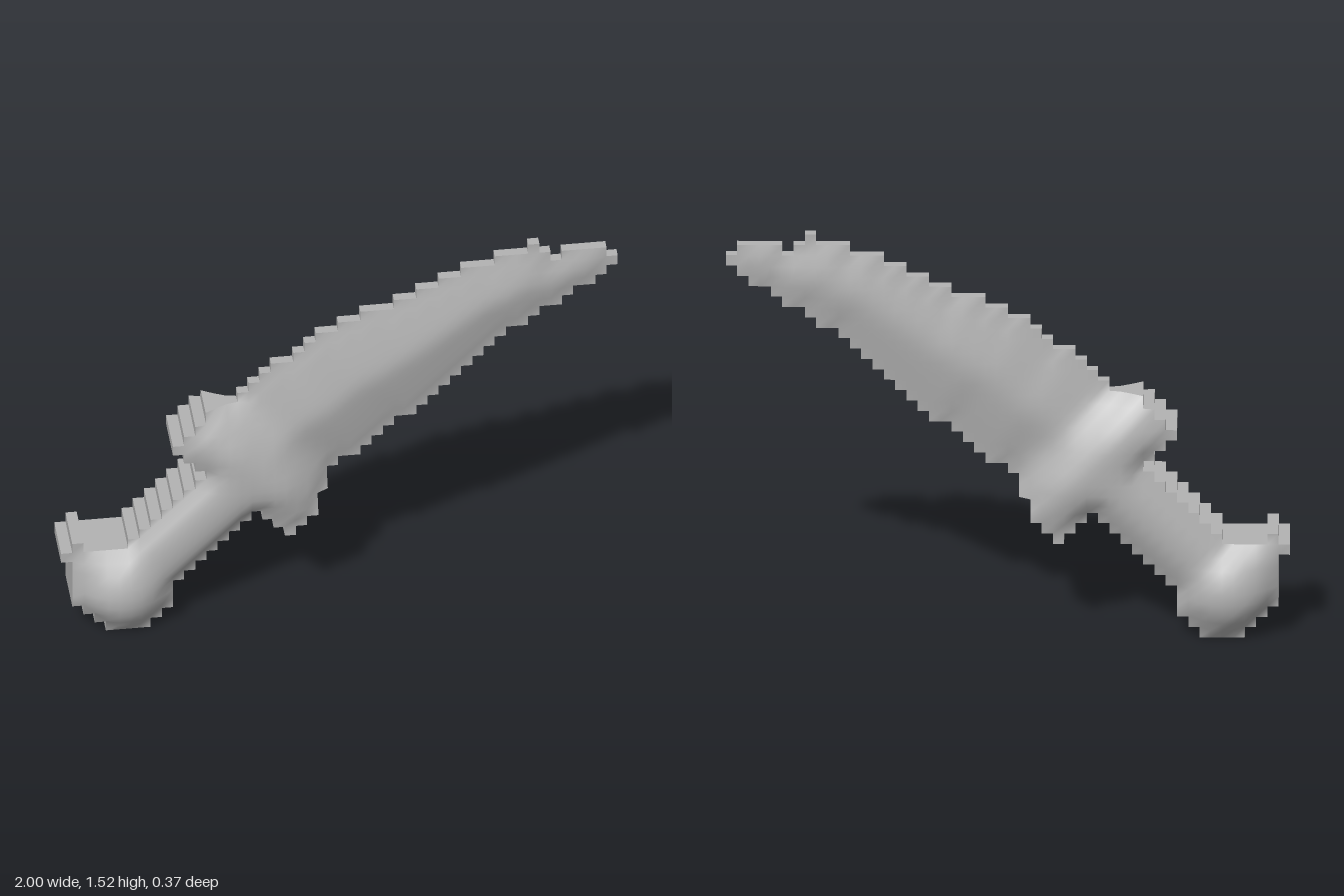
import * as THREE from 'three';

const CELL = 0.04, COLS = 50, ROWS = 38;

// Stepped silhouette: first and last column of each row, bottom to top
const SPANS = [
  [4, 8], [3, 9], [2, 10], [1, 10], [1, 10], [1, 11], [1, 12], [1, 13], [0, 14],
  [6, 15], [7, 16], [8, 17], [9, 23], [10, 24], [11, 24], [12, 25], [13, 27],
  [12, 28], [11, 29], [10, 30], [11, 32], [12, 33], [13, 34], [16, 35], [17, 36],
  [18, 37], [19, 38], [21, 39], [22, 40], [23, 42], [25, 43], [27, 45], [30, 46],
  [32, 48], [34, 49], [36, 50], [39, 44], [42, 43],
];
// Extra runs: pommel spur, lower guard lobe, tip beside the notch
const EXTRA = [[9, 1, 2], [9, 20, 21], [10, 19, 22], [11, 18, 23], [36, 45, 49]];

const filled = (i, j) => {
  if (j < 0 || j >= ROWS) return false;
  if (i >= SPANS[j][0] && i < SPANS[j][1]) return !(j === 36 && i === 44);
  return EXTRA.some(([r, a, b]) => r === j && i >= a && i < b);
};
const px = (i) => -1 + i * CELL;
const py = (j) => j * CELL;
const along = (x, y) => (x + 0.78 + y - 0.18) / Math.SQRT2;   // distance along the grip axis
const across = (x, y) => (y - 0.18 - x - 0.78) / Math.SQRT2;
const smooth = THREE.MathUtils.smoothstep;
const mix = THREE.MathUtils.lerp;

// Half thickness at the outline
const rim = (x, y) => mix(0.092, 0.018, smooth(along(x, y), 0.68, 0.82));

// Half thickness at a point lying d inside the outline
function thickness(x, y, d) {
  const s = along(x, y), w = Math.abs(across(x, y));
  const u = 1 - Math.min(1, d / 0.13);
  const swell = 0.05 * (1 - 0.45 * smooth(w, 0.1, 0.25));
  const hilt = 0.092 + swell * Math.sqrt(1 - u * u);
  const blade = Math.min(0.076, 0.018 + 0.3 * d - 0.3 * d * d);
  const r2 = (x + 0.78) ** 2 + (y - 0.18) ** 2;
  const ball = Math.sqrt(Math.max(0, 0.19 ** 2 - r2));
  return Math.max(mix(hilt, blade, smooth(s, 0.68, 0.85)), ball);
}

// Heights on the grid corners
function buildHeights() {
  const at = (i, j) => j * (COLS + 1) + i;
  const touching = (i, j) => [[i, j], [i - 1, j], [i, j - 1], [i - 1, j - 1]]
    .filter(([a, b]) => filled(a, b)).length;
  const edge = [], inner = [], h = [];
  for (let j = 0; j <= ROWS; j++) for (let i = 0; i <= COLS; i++) {
    const n = touching(i, j);
    if (n === 4) inner.push([i, j]);
    else if (n > 0) edge.push([i, j]);
  }
  for (const [i, j] of edge) h[at(i, j)] = rim(px(i), py(j));
  for (const [i, j] of inner) {
    const d = Math.min(...edge.map(([a, b]) => Math.hypot(a - i, b - j))) * CELL;
    h[at(i, j)] = thickness(px(i), py(j), d);
  }
  // One gentle smoothing pass evens out the stepped distances
  const old = h.slice();
  for (const [i, j] of inner) {
    const mean = (old[at(i - 1, j)] + old[at(i + 1, j)] + old[at(i, j - 1)] + old[at(i, j + 1)]) / 4;
    h[at(i, j)] = mix(old[at(i, j)], mean, 0.5);
  }
  return (i, j) => h[at(i, j)];
}

export function createModel() {
  const group = new THREE.Group();
  const grey = new THREE.MeshStandardMaterial({ color: 0xb3b3b3 });
  grey.name = 'grey';

  const height = buildHeights();
  const positions = [], shared = new Map();
  const parts = { pommel: [], grip: [], guard: [], blade: [] };
  const partAt = (x, y) => {
    const s = along(x, y);
    return s < 0.19 ? 'pommel' : s < 0.5 ? 'grip' : s < 0.82 ? 'guard' : 'blade';
  };
  const addPoint = (i, j, side) => {
    positions.push(px(i), py(j), side * height(i, j));
    return positions.length / 3 - 1;
  };
  const facePoint = (i, j, side) => {
    const key = `${i},${j},${side}`;
    if (!shared.has(key)) shared.set(key, addPoint(i, j, side));
    return shared.get(key);
  };
  const quad = (list, a, b, c, d) => list.push(a, b, c, a, c, d);

  for (let j = 0; j < ROWS; j++) for (let i = 0; i < COLS; i++) {
    if (!filled(i, j)) continue;
    const list = parts[partAt(px(i + 0.5), py(j + 0.5))];
    const ring = [[i, j], [i + 1, j], [i + 1, j + 1], [i, j + 1]];
    // Smooth front and back faces
    quad(list, ...ring.map(([a, b]) => facePoint(a, b, 1)));
    quad(list, ...ring.map(([a, b]) => facePoint(a, b, -1)).reverse());
    // Flat rim walls where the neighbouring cell is empty
    [[0, -1], [1, 0], [0, 1], [-1, 0]].forEach(([di, dj], k) => {
      if (filled(i + di, j + dj)) return;
      const p = ring[k], q = ring[(k + 1) % 4];
      quad(list, addPoint(...p, -1), addPoint(...q, -1), addPoint(...q, 1), addPoint(...p, 1));
    });
  }

  // Normals are computed over the whole surface, then it is split into parts
  const whole = new THREE.BufferGeometry();
  whole.setAttribute('position', new THREE.Float32BufferAttribute(positions, 3));
  whole.setIndex(Object.values(parts).flat());
  whole.computeVertexNormals();
  for (const [name, index] of Object.entries(parts)) {
    const piece = new THREE.BufferGeometry();
    piece.setAttribute('position', whole.getAttribute('position'));
    piece.setAttribute('normal', whole.getAttribute('normal'));
    piece.setIndex(index);
    const mesh = new THREE.Mesh(piece.toNonIndexed(), grey);
    mesh.name = name;
    group.add(mesh);
  }
  return group;
}
